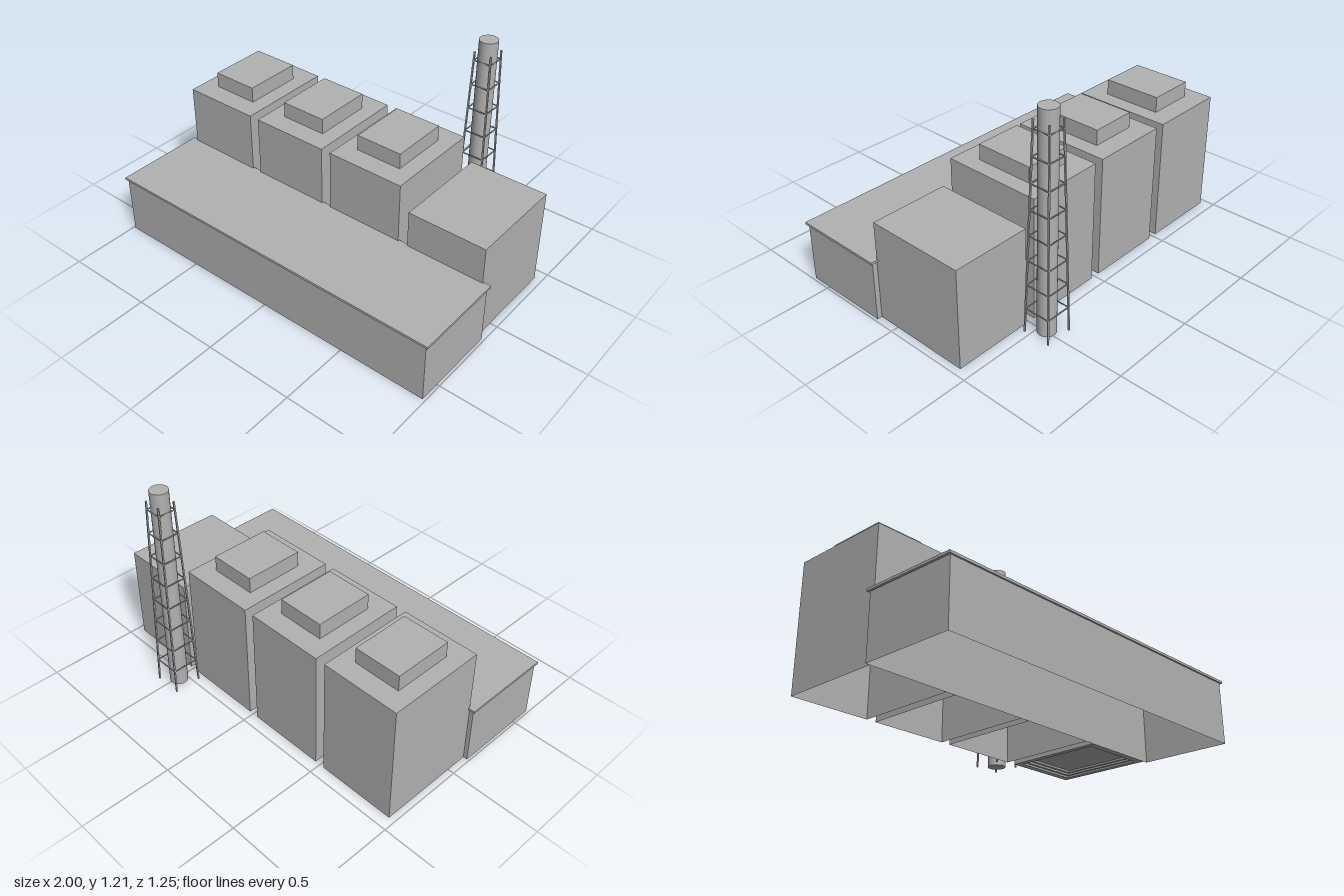
import * as THREE from 'three';

const concrete = new THREE.MeshStandardMaterial({ color: 0xb2b2b2, side: THREE.DoubleSide });
concrete.name = 'grey concrete';

// Mesh from bounds; a shell has no underside
function block(name, [x0, x1], [y0, y1], [z0, z1], shell = false) {
  const geo = new THREE.BoxGeometry(x1 - x0, y1 - y0, z1 - z0);
  if (shell) {
    const index = Array.from(geo.index.array);
    index.splice(18, 6);
    geo.setIndex(index);
    geo.clearGroups();
  }
  const mesh = new THREE.Mesh(geo, concrete);
  mesh.name = name;
  mesh.position.set((x0 + x1) / 2, (y0 + y1) / 2, (z0 + z1) / 2);
  return mesh;
}

// Square bar between two points
function bar(name, a, b, size) {
  const dir = b.clone().sub(a);
  const mesh = new THREE.Mesh(new THREE.BoxGeometry(size, dir.length(), size), concrete);
  mesh.name = name;
  mesh.position.copy(a).add(b).multiplyScalar(0.5);
  mesh.quaternion.setFromUnitVectors(new THREE.Vector3(0, 1, 0), dir.normalize());
  return mesh;
}

// Chimney stack inside a tapering four-legged lattice
function chimney() {
  const group = new THREE.Group();
  group.name = 'chimney';
  const stack = new THREE.Mesh(new THREE.CylinderGeometry(0.049, 0.049, 1.21, 32), concrete);
  stack.name = 'stack';
  stack.position.y = 0.605;
  group.add(stack);

  const legTop = 1.145;
  const half = (y) => 0.075 - 0.028 * (y / legTop);
  const corner = (i, y) => new THREE.Vector3(
    (i % 4 === 0 || i % 4 === 3 ? 1 : -1) * half(y), y, (i % 4 < 2 ? 1 : -1) * half(y));
  for (let i = 0; i < 4; i++) {
    group.add(bar('latticeLeg', corner(i, 0), corner(i, legTop), 0.008));
    for (let k = 1; k <= 8; k++) {
      const y = k * 0.1373;
      group.add(bar('latticeRung', corner(i, y), corner(i + 1, y), 0.005));
    }
  }
  group.position.set(0.491, 0, -0.543);
  return group;
}

// Stepped underside of the low block
function steppedBase(x, z, halfX, halfZ) {
  const steps = [[1, 0], [0.86, 0], [0.86, 0.01], [0.8, 0.01], [0.8, 0.02],
    [0.74, 0.02], [0.74, 0.03], [0, 0.03]];
  const profile = steps.map(([r, y]) => new THREE.Vector2(r * Math.SQRT2, y));
  let geo = new THREE.LatheGeometry(profile, 4);
  geo.rotateY(Math.PI / 4);
  geo.scale(halfX, 1, halfZ);
  geo = geo.toNonIndexed();
  geo.computeVertexNormals();
  const mesh = new THREE.Mesh(geo, concrete);
  mesh.name = 'steppedBase';
  mesh.position.set(x, 0, z);
  return mesh;
}

export function createModel() {
  const model = new THREE.Group();
  model.name = 'powerStation';

  // Long front hall with overhanging roof slab
  model.add(block('frontHall', [-0.988, 0.986], [0, 0.333], [0.119, 0.615], true));
  model.add(block('hallRoof', [-1, 1], [0.333, 0.346], [0.109, 0.624]));

  // Three tall blocks with rooftop housings
  const depth = [-0.434, 0.119];
  for (let i = 0; i < 3; i++) {
    const x = -0.745 + i * 0.4945;
    model.add(block('boilerHouse', [x - 0.22, x + 0.22], [0, 0.683], depth, true));
    model.add(block('roofHousing', [x - 0.132, x + 0.132], [0.683, 0.77], [-0.323, 0.006], true));
  }

  // Lower end block
  model.add(block('lowBlock', [0.519, 0.959], [0, 0.55], depth, true));
  model.add(steppedBase(0.739, -0.1575, 0.22, 0.2765));

  model.add(chimney());
  return model;
}
